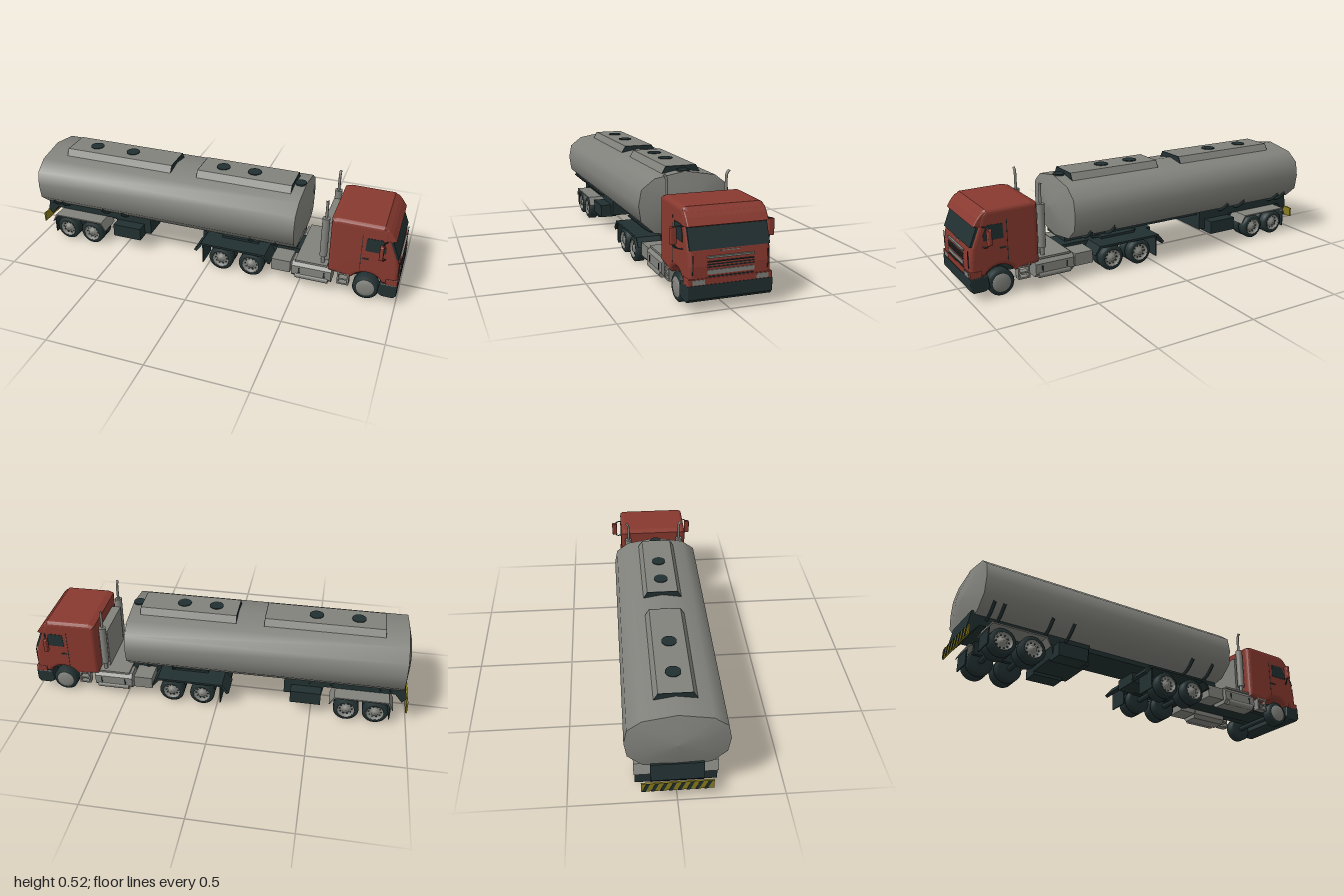
import * as THREE from 'three';

const mat = (name, color) => Object.assign(new THREE.MeshStandardMaterial({ color }), { name });

export function createModel() {
  const red = mat('cabRed', 0x88392f), grey = mat('metalGrey', 0x82827d);
  const dark = mat('darkSlate', 0x223031), yellow = mat('hazardYellow', 0x8a7d1c);
  const model = new THREE.Group();
  model.name = 'tankerTruck';

  const add = (name, geo, m) => {
    const mesh = new THREE.Mesh(geo, m);
    mesh.name = name;
    model.add(mesh);
    return mesh;
  };
  // box given by its limits
  const box = (name, m, x0, x1, y0, y1, z0, z1) => add(name,
    new THREE.BoxGeometry(x1 - x0, y1 - y0, z1 - z0).translate((x0 + x1) / 2, (y0 + y1) / 2, (z0 + z1) / 2), m);
  const both = fn => [1, -1].forEach(fn);
  const boxPair = (name, m, x0, x1, y0, y1, z0, z1) => both(s =>
    box(name, m, x0, x1, y0, y1, s > 0 ? z0 : -z1, s > 0 ? z1 : -z0));
  const shapeOf = pts => new THREE.Shape(pts.map(p => new THREE.Vector2(p[0], p[1])));
  // side profile (x, y) extruded across the truck
  const prismZ = (name, m, pts, z0, z1, bevel = 0) => add(name, new THREE.ExtrudeGeometry(shapeOf(pts), {
    depth: z1 - z0 - 2 * bevel, bevelEnabled: bevel > 0, bevelSize: bevel, bevelOffset: -bevel,
    bevelThickness: bevel, bevelSegments: 4 }).translate(0, 0, z0 + bevel), m);
  // cross-section (z, y) extruded along the truck
  const prismX = (name, m, pts, x0, x1) => add(name, new THREE.ExtrudeGeometry(shapeOf(pts), {
    depth: x1 - x0, bevelEnabled: false }).rotateY(-Math.PI / 2).translate(x1, 0, 0), m);
  const tube = (name, m, r, ...pts) => add(name, new THREE.TubeGeometry(
    new THREE.CatmullRomCurve3(pts.map(p => new THREE.Vector3(...p))), 12, r, 8), m);
  const rod = (name, m, r, len, x, y, z, axis) => {
    const g = new THREE.CylinderGeometry(r, r, len, 20);
    if (axis === 'x') g.rotateZ(Math.PI / 2);
    if (axis === 'z') g.rotateX(Math.PI / 2);
    return add(name, g.translate(x, y, z), m);
  };

  // ---- tank: twelve-sided section lofted along x
  const half = [[0, .497], [.155, .47], [.22, .42], [.234, .345], [.222, .265], [.155, .205], [0, .18]];
  const ring = [...half, ...half.slice(1, 6).reverse().map(([z, y]) => [-z, y])];
  const loft = (name, stations) => {
    const pos = [], idx = [], n = ring.length;
    stations.forEach(([x, s]) => ring.forEach(([z, y]) => pos.push(x, .342 + (y - .342) * s, z * s)));
    for (let i = 0; i < stations.length - 1; i++) for (let j = 0; j < n; j++) {
      const a = i * n + j, b = i * n + (j + 1) % n;
      idx.push(a, b, a + n, b, b + n, a + n);
    }
    const g = new THREE.BufferGeometry();
    g.setAttribute('position', new THREE.Float32BufferAttribute(pos, 3));
    g.setIndex(idx);
    g.computeVertexNormals();
    add(name, g, grey);
  };
  loft('tankShell', [[-.96, 1], [.475, 1]]);
  loft('tankRearCap', [[-.988, 0], [-.98, .5], [-.96, 1]]);
  loft('tankFrontCap', [[.475, 1], [.496, .5], [.505, 0]]);

  // walkways and hatches on top of the tank
  const walk = [[-.1, .476], [.1, .476], [.078, .515], [-.078, .515]];
  [[-.84, -.235], [-.085, .415]].forEach(([a, b]) => {
    prismX('walkway', grey, walk, a, b);
    prismX('walkwayEnd', dark, walk, b, b + .003);
    prismX('walkwayEnd', dark, walk, a - .003, a);
  });
  [-.705, -.49, .03, .2].forEach(x => rod('hatch', dark, .036, .006, x, .516, 0));
  rod('frontVent', dark, .03, .008, .445, .497, 0);

  // ---- trailer frame
  box('trailerBeam', dark, -.36, .47, .172, .21, -.1, .1);
  prismZ('trailerRearFrame', dark, [[-.975, .215], [-.99, .13], [-.97, .1], [-.93, .15], [-.56, .15],
    [-.55, .09], [-.352, .09], [-.352, .215]], -.12, .12);
  boxPair('toolbox', dark, -.55, -.39, .075, .145, .09, .18);
  both(s => [-.9, -.85, -.6, -.485, .235, .37].forEach(x =>
    tube('tankBracket', dark, .008, [x, .178, s * .09], [x, .196, s * .15], [x, .245, s * .21])));
  both(s => prismZ('trailerFender', grey, [[-.925, .1], [-.9, .146], [-.62, .146], [-.595, .1], [-.6, .1],
    [-.625, .139], [-.895, .139], [-.92, .1]].reverse(), s > 0 ? .08 : -.195, s > 0 ? .195 : -.08));
  boxPair('trailerMudFlap', dark, -.912, -.906, .035, .12, .08, .19);

  // hazard board across the tail
  box('hazardBoard', yellow, -.998, -.99, .07, .12, -.165, .165);
  for (let i = 0; i < 8; i++) {
    const z = -.16 + i * .04;
    prismX('hazardStripe', dark, [[z, .07], [z + .016, .07], [z + .036, .12], [z + .02, .12]], -1, -.998);
  }

  // ---- tractor chassis
  box('chassisBeam', dark, -.06, .92, .09, .145, -.07, .07);
  box('fifthWheel', dark, .06, .26, .145, .158, -.1, .1);
  rod('kingpin', dark, .012, .05, .105, .16, 0);
  both(s => prismZ('tractorFender', dark, [[-.068, .1], [-.03, .146], [.32, .146], [.35, .1], [.34, .1],
    [.312, .135], [-.024, .135], [-.055, .09]].reverse(), s > 0 ? .07 : -.195, s > 0 ? .195 : -.07));
  boxPair('tractorMudFlap', dark, -.023, -.017, .025, .13, .075, .19);
  boxPair('batteryBox', grey, .355, .455, .065, .13, .07, .18);
  both(s => {
    prismX('fuelTank', grey, [[.1, .05], [.17, .05], [.19, .07], [.19, .12], [.17, .14], [.1, .14],
      [.08, .12], [.08, .07]].map(([z, y]) => [s * z, y]), .465, .67);
    rod('airTank', grey, .016, .17, .57, .062, s * .18, 'x');
    [.5, .63].forEach(x => box('tankStrap', dark, x, x + .008, .08, .11, s * .19 - .002, s * .19 + .002));
    [.062, .09, .12].forEach(y => box('stepTread', grey, .7, .76, y, y + .008, s * .17 - .018, s * .17 + .018));
    [.7, .752].forEach(x => box('stepSide', grey, x, x + .008, .062, .14, s * .17 - .018, s * .17 + .018));
  });
  box('catwalk', grey, .48, .645, .14, .15, -.18, .18);
  box('cabBackUnit', grey, .6, .648, .15, .37, -.125, .125);

  // exhaust stacks
  both(s => {
    rod('silencer', grey, .019, .22, .616, .3, s * .15);
    rod('silencerFoot', grey, .01, .08, .616, .18, s * .15);
    tube('exhaustPipe', grey, .007, [.616, .4, s * .148], [.616, .485, s * .148], [.616, .505, s * .151], [.616, .519, s * .162]);
  });

  // ---- cab
  const arch = [];
  for (let i = 0; i <= 10; i++) {
    const a = Math.PI * (.17 + .66 * i / 10);
    arch.push([.845 + .088 * Math.cos(a), .068 + .088 * Math.sin(a)]);
  }
  prismZ('cabBody', red, [[.648, .13], ...arch.reverse(), [.995, .115], [.995, .2], [.985, .265], [.945, .365],
    [.93, .415], [.905, .437], [.68, .44], [.648, .43]], -.19, .19, .022);
  prismZ('sunVisor', red, [[.9, .43], [.915, .36], [.95, .358], [.967, .365], [.945, .398], [.925, .42]], -.187, .187, .006);
  prismZ('windscreen', dark, [[.928, .36], [.967, .268], [.988, .268], [.951, .36]], -.184, .184);
  prismZ('frontPanel', red, [[.94, .115], [.998, .115], [.998, .148], [.94, .148]], -.195, .195, .004);
  prismZ('bumper', dark, [[.912, .12], [.905, .06], [.93, .045], [.985, .045], [1, .06], [1, .12]], -.197, .197, .005);
  box('cabFloor', dark, .66, .98, .1, .135, -.13, .13);
  both(s => {
    prismZ('sideWindow', dark, [[.825, .29], [.925, .29], [.924, .318], [.905, .364], [.828, .362]],
      s * .19 - .002, s * .19 + .002);
    box('headlight', grey, .997, 1, .122, .144, s * .147 - .028, s * .147 + .028);
    box('cornerVent', dark, .993, .9965, .165, .25, s * .172 - .002, s * .172 + .002);
    box('doorHandle', dark, .815, .845, .24, .247, s * .19 - .003, s * .19 + .003);
    box('doorSeam', dark, .805, .808, .17, .38, s * .19 - .001, s * .19 + .001);
    // mirrors and their arms
    prismZ('mirror', red, [[.897, .28], [.917, .28], [.917, .355], [.897, .355]],
      s > 0 ? .213 : -.243, s > 0 ? .243 : -.213, .006);
    tube('mirrorArm', dark, .003, [.93, .358, s * .18], [.915, .361, s * .21], [.907, .352, s * .23]);
    tube('mirrorArm', dark, .003, [.93, .262, s * .18], [.915, .264, s * .21], [.907, .285, s * .228]);
  });

  // grille bars
  [[.232, .24, grey], [.163, .182, grey], [.215, .219, dark], [.203, .207, dark], [.192, .196, dark],
    [.151, .155, dark]].forEach(([y0, y1, m]) => box('grilleBar', m, .985, .9985, y0, y1, -.107, .107));
  box('wiperRail', grey, .98, .988, .257, .261, -.045, .045);

  // ---- wheels
  const lathe = (pts, seg = 28) => new THREE.LatheGeometry(pts.map(p => new THREE.Vector2(...p)), seg);
  const wheel = (x, s, z, w, front) => {
    const g = new THREE.Group(), h = w / 2;
    g.name = 'wheel';
    const part = (name, geo, m) => g.add(Object.assign(new THREE.Mesh(geo, m), { name }));
    part('tyre', lathe([[0, -h], [.056, -h], [.066, -h + .008], [.066, h - .008], [.056, h], [.044, h]]), dark);
    part('rim', lathe(front
      ? [[.046, h - .001], [.044, h + .003], [.032, h + .004], [.025, h + .008], [0, h + .008]]
      : [[.047, h - .001], [.045, h + .002], [.041, h - .012], [.022, h - .012], [.018, h], [0, h + .002]]), grey);
    if (!front) for (let i = 0; i < 10; i++) {
      const a = i * Math.PI / 5;
      part('rimHole', new THREE.CylinderGeometry(.005, .005, .002, 8)
        .translate(.032 * Math.cos(a), h - .0115, .032 * Math.sin(a)), dark);
    }
    g.rotation.x = s * Math.PI / 2;
    g.position.set(x, .067, s * z);
    model.add(g);
  };
  both(s => {
    wheel(.845, s, .158, .058, true);
    [.08, .245, -.835, -.685].forEach(x => {
      wheel(x, s, .162, .054, false);
      wheel(x, s, .103, .05, false);
    });
  });
  [.845, .08, .245, -.835, -.685].forEach(x => rod('axle', dark, .014, .26, x, .067, 0, 'z'));
  [-.835, -.685, .08, .245].forEach(x => boxPair('spring', dark, x - .05, x + .05, .085, .15, .05, .07));
  return model;
}
